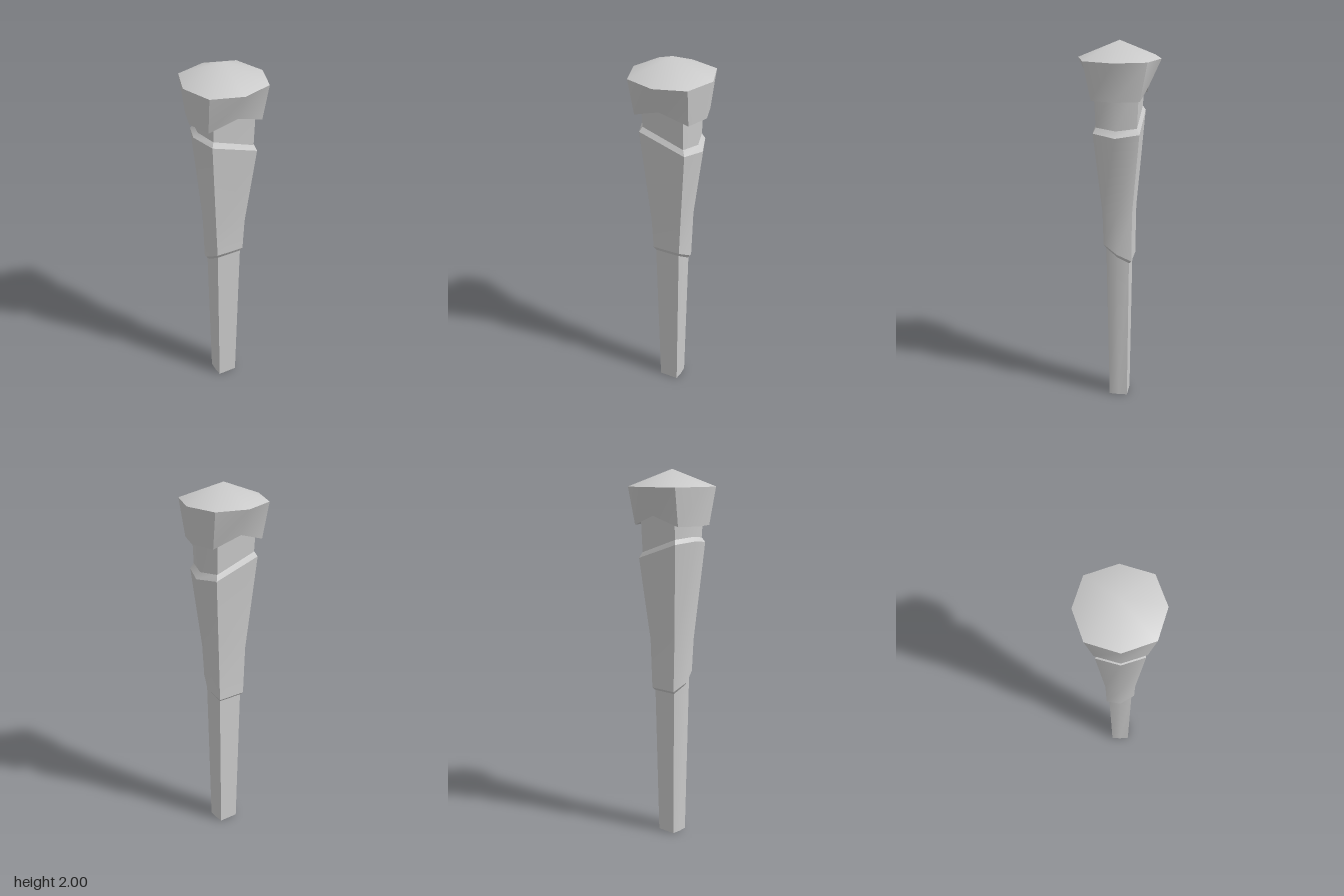
import * as THREE from 'three';
import { toCreasedNormals } from 'three/addons/utils/BufferGeometryUtils.js';

// Skin a stack of rings (bottom to top); optional centre points close the ends with fans.
function loft(name, rings, { bottom, top } = {}) {
  const pos = [];
  const tri = (...pts) => pts.forEach((p) => pos.push(...p));
  const n = rings[0].length;
  for (let j = 0; j < n; j++) {
    const k = (j + 1) % n;
    for (let i = 0; i < rings.length - 1; i++) {
      const lo = rings[i], hi = rings[i + 1];
      tri(lo[j], lo[k], hi[k]);
      tri(lo[j], hi[k], hi[j]);
    }
    const first = rings[0], last = rings[rings.length - 1];
    if (bottom) tri(first[k], first[j], bottom);
    if (top) tri(last[j], last[k], top);
  }
  const geometry = new THREE.BufferGeometry();
  geometry.setAttribute('position', new THREE.Float32BufferAttribute(pos, 3));
  const material = new THREE.MeshStandardMaterial({ color: 0xcccccc });
  const mesh = new THREE.Mesh(toCreasedNormals(geometry, THREE.MathUtils.degToRad(48)), material);
  mesh.name = name;
  return mesh;
}

// Six-sided section: flat front and back (half width w, half depth d), ridge at +-r on the sides.
// height(x, z) tilts the section.
function hex(w, r, d, height) {
  return [[-w, d], [w, d], [r, 0], [w, -d], [-w, -d], [-r, 0]]
    .map(([x, z]) => [x, height(x, z), z]);
}

// Eight-sided section: front/back points at z = f, sides at x = s, corners at (cx, cz).
function oct(f, s, cx, cz, yFront, ySide) {
  return [[0, f], [cx, cz], [s, 0], [cx, -cz], [0, -f], [-cx, -cz], [-s, 0], [-cx, cz]]
    .map(([x, z]) => [x, x === 0 ? yFront : ySide, z]);
}

export function createModel() {
  const group = new THREE.Group();
  group.name = 'taperedPost';

  // Slanted cuts at both ends of the thick sleeve
  const sleeveTop = hex(0.127, 0.17, 0.121, (x) => 1.58 - 0.325 * x);
  const bevelTop = hex(0.114, 0.145, 0.107, (x) => 1.607 - 0.34 * x);
  const sleeveBottom = hex(0.077, 0.107, 0.076, (x, z) => 0.875 + 0.6 * z);
  const bevelBottom = hex(0.068, 0.09, 0.062, (x, z) => 0.855 + 0.65 * z);

  // Lower shaft, narrowing to an almost square foot
  group.add(loft('shaft', [
    hex(0.053, 0.056, 0.05, () => 0),
    hex(0.07, 0.093, 0.063, () => 0.95),
  ], { bottom: [0, 0, 0] }));

  // Sleeve with its bevelled ends
  group.add(loft('sleeveLowerBevel', [bevelBottom, sleeveBottom]));
  group.add(loft('sleeve', [
    sleeveBottom,
    hex(0.086, 0.112, 0.079, () => 1.1),
    sleeveTop,
  ]));
  group.add(loft('sleeveUpperBevel', [sleeveTop, bevelTop]));

  // Neck between sleeve and cap
  group.add(loft('neck', [
    bevelTop,
    hex(0.118, 0.157, 0.118, () => 1.82),
  ], { top: [0, 1.82, 0] }));

  // Flared cap with arched front and back edges and a shallow pointed top
  const rim = oct(0.216, 0.219, 0.163, 0.163, 1.91, 1.91);
  const capEdge = oct(0.15, 0.19, 0.15, 0.125, 1.765, 1.712);
  group.add(loft('capTop', [rim], { top: [0, 2, 0] }));
  group.add(loft('capSides', [capEdge, rim]));
  group.add(loft('capUnderside', [
    oct(0.11, 0.145, 0.11, 0.108, 1.79, 1.74),
    capEdge,
  ]));

  return group;
}
